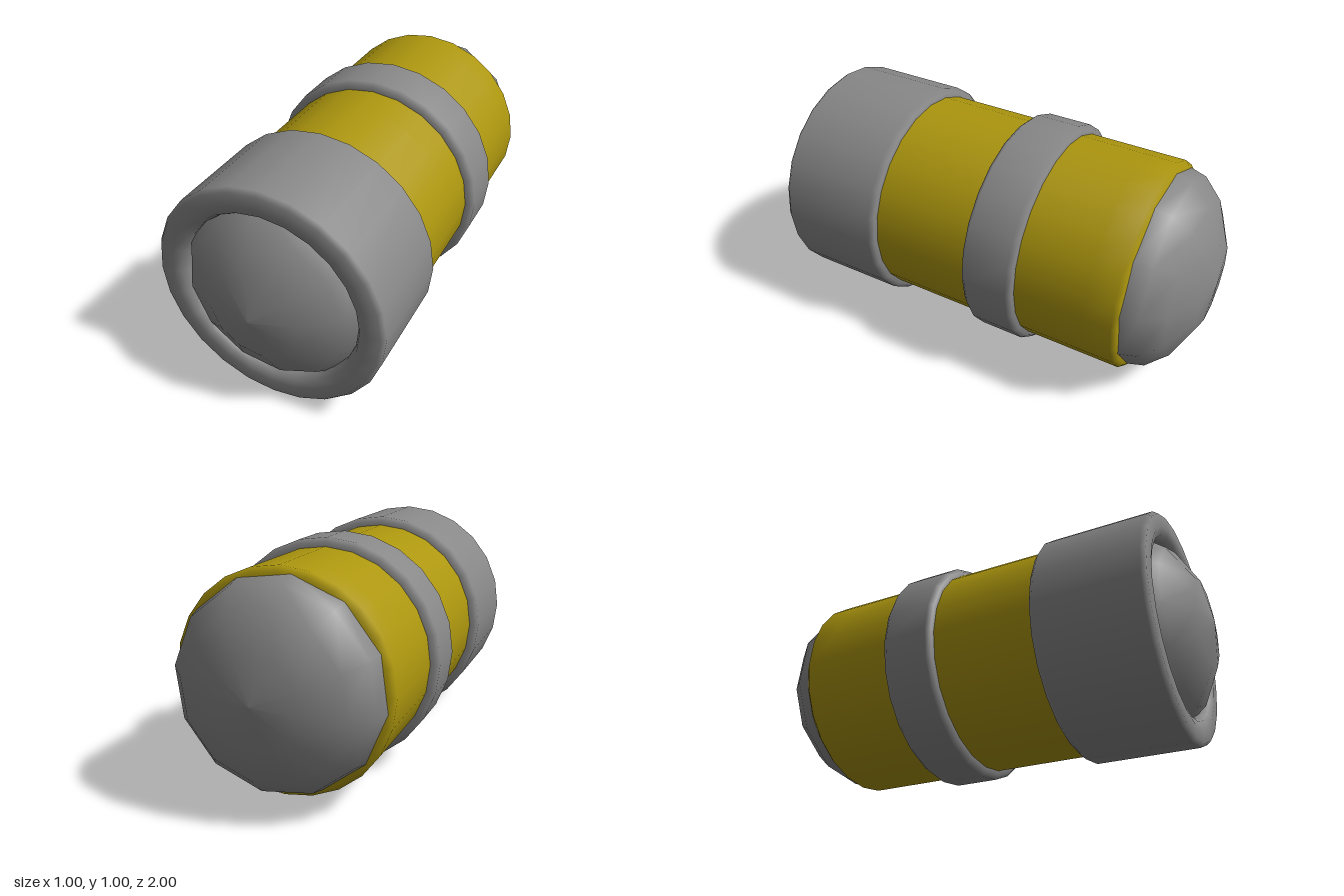
import * as THREE from 'three';

const metal = new THREE.MeshStandardMaterial({ color: 0x888888 });
metal.name = 'grey metal';
const paint = new THREE.MeshStandardMaterial({ color: 0xac960e });
paint.name = 'yellow paint';

// Revolves [radius, z] points, listed from back to front, around the long axis
function turned(name, material, points, sides = 24, start = 0) {
  const profile = points.map(([r, z]) => new THREE.Vector2(r, z));
  const geometry = new THREE.LatheGeometry(profile, sides, start);
  geometry.rotateX(Math.PI / 2);
  const mesh = new THREE.Mesh(geometry, material);
  mesh.name = name;
  mesh.position.y = 0.502;
  return mesh;
}

export function createModel() {
  const group = new THREE.Group();
  group.name = 'capsule';

  // Painted body with a softened back edge
  group.add(turned('body', paint, [
    [0.41, -0.752], [0.44, -0.75], [0.46, -0.73], [0.46, -0.61], [0.46, -0.3], [0.46, 0.09], [0.46, 0.4],
  ]));

  // Raised band around the middle
  group.add(turned('middleBand', metal, [
    [0.45, -0.302], [0.48, -0.3], [0.497, -0.28], [0.497, -0.085], [0.48, -0.065], [0.45, -0.063],
  ]));

  // Front sleeve whose rim rolls inward
  group.add(turned('frontSleeve', metal, [
    [0.45, 0.388], [0.48, 0.39], [0.499, 0.41], [0.5, 0.855], [0.485, 0.875],
    [0.43, 0.877], [0.395, 0.865], [0.38, 0.84], [0.375, 0.75],
  ]));

  // Domed ends
  group.add(turned('frontDome', metal, [
    [0.43, 0.68], [0.42, 0.78], [0.345, 0.88], [0.19, 0.967], [0, 1],
  ], 12, 0.13));
  group.add(turned('backDome', metal, [
    [0, -1], [0.185, -0.98], [0.34, -0.905], [0.418, -0.82], [0.437, -0.75], [0.44, -0.7],
  ], 12, 0.13));

  return group;
}
